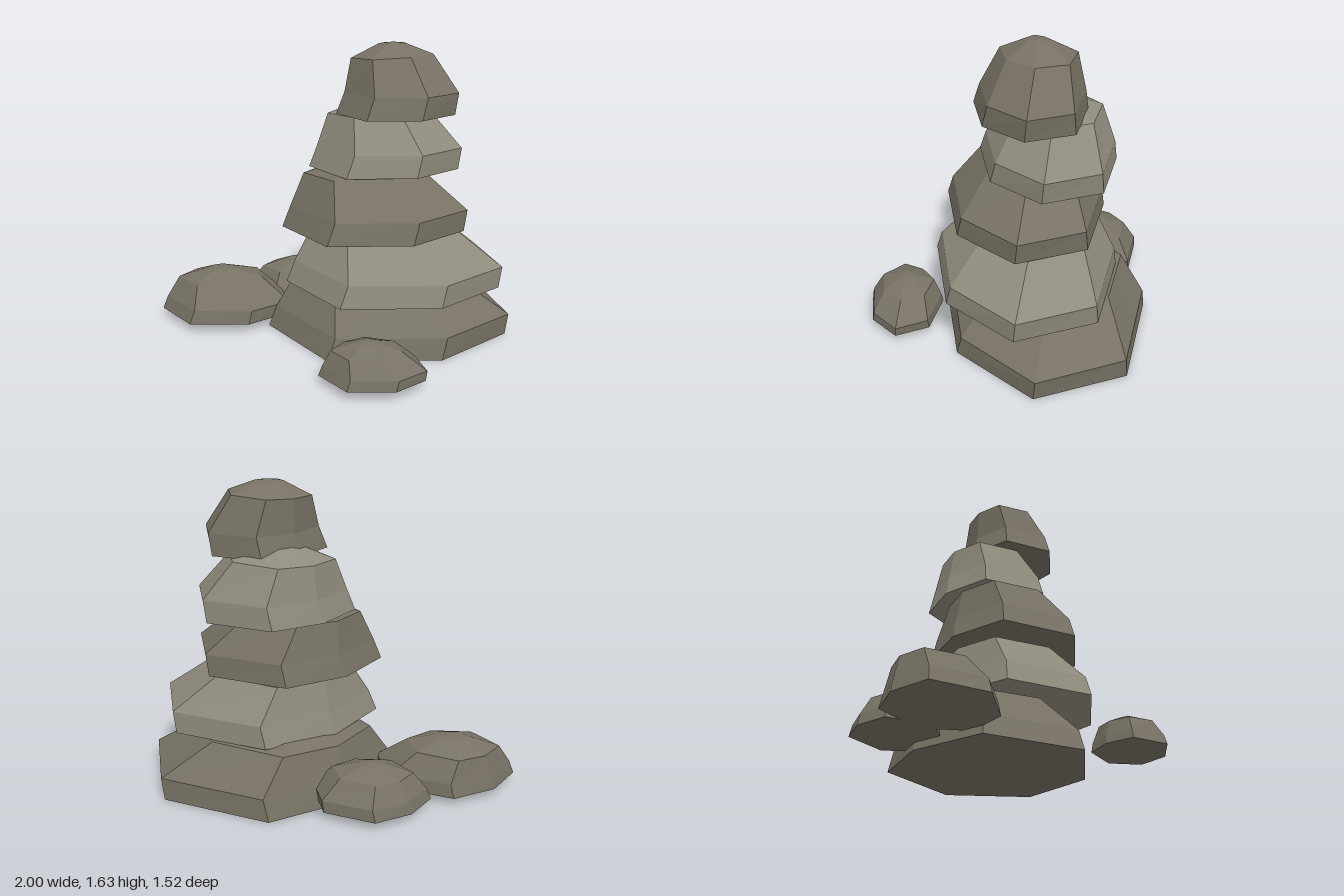
import * as THREE from 'three';

const DARK = 0x777264, LIGHT = 0x8f8b7c;

// Seven-cornered footprint shared by all stones, in a unit square:
// left, front, front right, right, back right, back, back left
const FOOTPRINT = [[0, 0.68], [0.345, 1], [0.785, 0.84], [1, 0.455], [0.82, 0.06], [0.36, 0], [0.105, 0.29]];

// One ring of corners: the footprint fitted to a box [x0, x1, z0, z1]; the left side dips by tilt
const ring = ([x0, x1, z0, z1], y, tilt = 0) => FOOTPRINT.map(([u, v]) => [
  THREE.MathUtils.lerp(x0, x1, u),
  y - tilt * (1 - u),
  THREE.MathUtils.lerp(z0, z1, v),
]);

// A faceted stone: flat base, leaning belt, shoulder and a small crown
function createStone(name, color, y, height, base, shoulder) {
  const n = FOOTPRINT.length;
  const [x0, x1, z0, z1] = base;
  const [s0, s1, t0, t1] = shoulder;
  const lean = height / 0.315;
  const belt = [x0 + 0.04 * lean, x1 + 0.015 * lean, z0 + 0.012 * lean, z1 - 0.038 * lean];

  const cx = (s0 + s1) / 2, cz = (t0 + t1) / 2;
  const rx = (s1 - s0) * 0.17, rz = (t1 - t0) * 0.17;
  const crown = [cx - rx, cx + rx, cz - rz, cz + rz];
  const rise = 0.06 * Math.sqrt(lean) - 0.008;
  const top = y + height + rise;

  const points = [
    ...ring(base, y),
    ...ring(belt, y + height * 0.37),
    ...ring(shoulder, y + height, height * 0.08),
    ...ring(crown, top),
    [(x0 + x1) / 2, y, (z0 + z1) / 2],
    [cx, top + 0.008, cz],
  ];
  const bottom = 4 * n, apex = bottom + 1;
  const index = [];
  for (let i = 0; i < n; i++) {
    const j = (i + 1) % n;
    for (let k = 0; k < 3; k++) {
      const a = k * n + i, b = k * n + j;
      index.push(a, b, b + n, a, b + n, a + n);
    }
    index.push(bottom, j, i, apex, 3 * n + i, 3 * n + j);
  }

  const indexed = new THREE.BufferGeometry();
  indexed.setAttribute('position', new THREE.Float32BufferAttribute(points.flat(), 3));
  indexed.setIndex(index);
  const geometry = indexed.toNonIndexed();
  geometry.computeVertexNormals();
  const mesh = new THREE.Mesh(geometry, new THREE.MeshStandardMaterial({ color, flatShading: true }));
  mesh.name = name;
  return mesh;
}

export function createModel() {
  const group = new THREE.Group();
  group.name = 'stoneCairn';

  // Stacked stones from the ground up: base box and shoulder box
  const layer = 0.315;
  const stack = [
    ['baseStone', [-0.345, 0.98, -0.765, 0.38], [-0.22, 0.67, -0.62, 0.15]],
    ['secondStone', [-0.21, 0.94, -0.595, 0.405], [-0.1, 0.67, -0.475, 0.18]],
    ['thirdStone', [-0.235, 0.74, -0.51, 0.35], [-0.14, 0.505, -0.395, 0.155]],
    ['fourthStone', [-0.125, 0.68, -0.565, 0.155], [-0.04, 0.51, -0.48, 0]],
    ['topStone', [0.045, 0.665, -0.415, 0.165], [0.105, 0.535, -0.355, 0.03]],
  ];
  stack.forEach(([name, base, shoulder], i) => {
    group.add(createStone(name, i % 2 ? LIGHT : DARK, i * layer, layer, base, shoulder));
  });

  // Loose pebbles around the foot
  group.add(
    createStone('largePebble', DARK, 0.045, 0.2, [-1, -0.265, -0.34, 0.23], [-0.92, -0.43, -0.28, 0.1]),
    createStone('backPebble', DARK, 0.045, 0.17, [-0.62, -0.02, -0.695, -0.215], [-0.53, -0.12, -0.62, -0.31]),
    createStone('frontPebble', DARK, 0.045, 0.14, [0.135, 0.665, 0.35, 0.76], [0.19, 0.54, 0.4, 0.69]),
  );
  return group;
}
